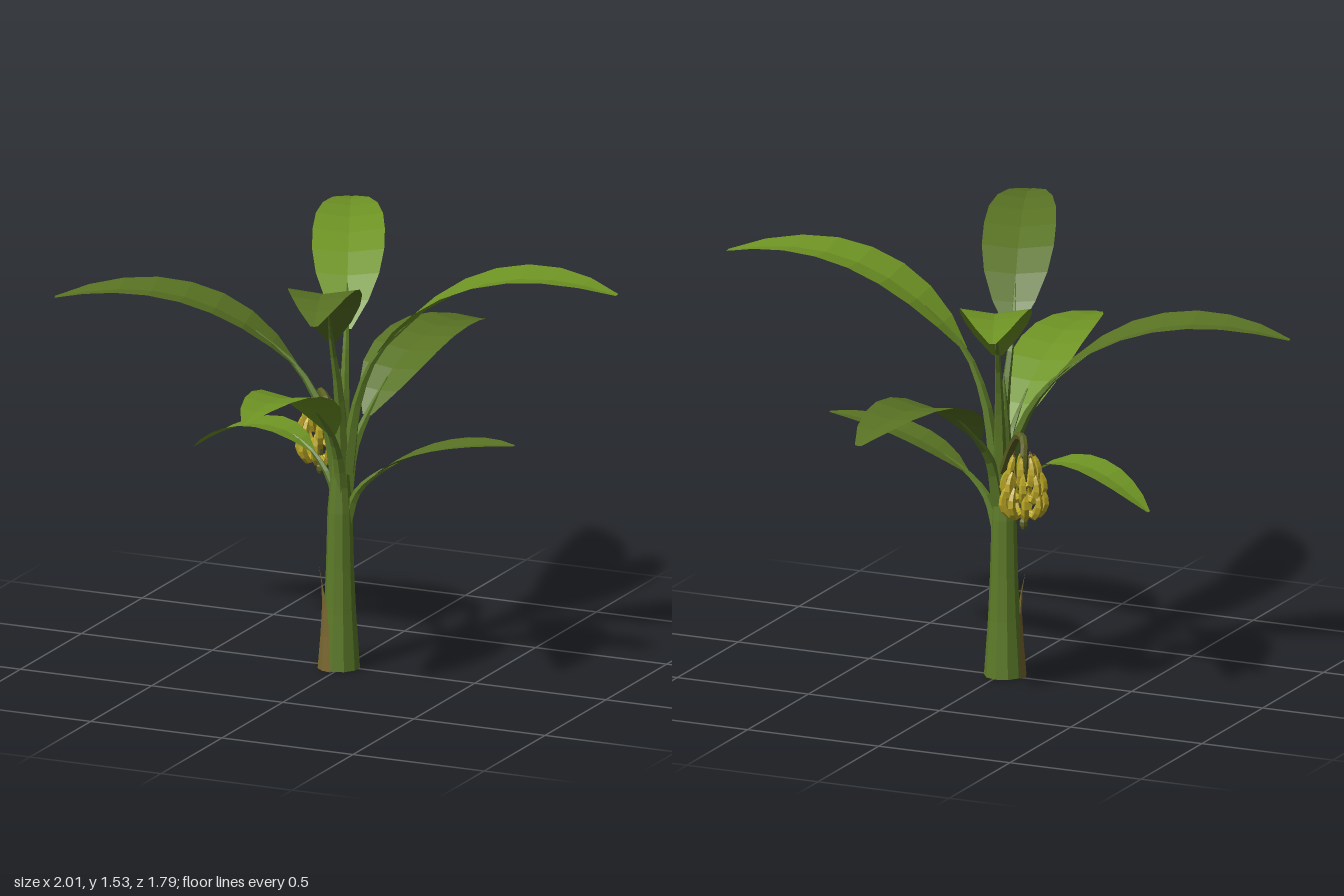
import * as THREE from 'three';

const mat = (name, color, side = THREE.FrontSide) =>
  Object.assign(new THREE.MeshStandardMaterial({ color, flatShading: true, side }), { name });

const v3 = (p) => new THREE.Vector3(...p);

// Tube whose radius follows a rule along its length
function taperTube(points, radiusAt, segs, sides) {
  const curve = new THREE.CatmullRomCurve3(points);
  const geo = new THREE.TubeGeometry(curve, segs, 1, sides);
  const pos = geo.attributes.position;
  const p = new THREE.Vector3();
  for (let i = 0; i < pos.count; i++) {
    const t = Math.floor(i / (sides + 1)) / segs;
    const c = curve.getPointAt(t);
    p.fromBufferAttribute(pos, i).sub(c).multiplyScalar(radiusAt(t)).add(c);
    pos.setXYZ(i, p.x, p.y, p.z);
  }
  geo.computeVertexNormals();
  return geo;
}

// Open surface from rows of equal length
function skin(rows) {
  const n = rows[0].length;
  const index = [];
  for (let i = 0; i < rows.length - 1; i++) {
    for (let j = 0; j < n - 1; j++) {
      const a = i * n + j, b = a + n;
      index.push(a, b, a + 1, a + 1, b, b + 1);
    }
  }
  const geo = new THREE.BufferGeometry().setFromPoints(rows.flat());
  geo.setIndex(index);
  geo.computeVertexNormals();
  return geo;
}

// Leaf blade with a shallow fold along the midrib
function bladeGeometry(curve, halfWidth) {
  const profile = [0.14, 0.6, 0.88, 1, 1, 0.93, 0.76, 0.5, 0.1];
  const up = new THREE.Vector3(0, 1, 0);
  const rows = profile.map((w, i) => {
    const t = i / (profile.length - 1);
    const c = curve.getPointAt(t), dir = curve.getTangentAt(t);
    const side = new THREE.Vector3().crossVectors(up, dir).normalize();
    const normal = new THREE.Vector3().crossVectors(dir, side);
    return [-1, 0, 1].map((s) => c.clone()
      .addScaledVector(side, s * w * halfWidth)
      .addScaledVector(normal, Math.abs(s) * w * halfWidth * 0.14));
  });
  return skin(rows);
}

export function createModel() {
  const group = new THREE.Group();
  group.name = 'bananaPlant';
  const leafLight = mat('lightLeaf', 0x6f9424, THREE.DoubleSide);
  const leafDark = mat('darkLeaf', 0x587223, THREE.DoubleSide);
  const stemGreen = mat('stemGreen', 0x5c7a28);
  const dryBrown = mat('drySheath', 0x786630, THREE.DoubleSide);
  const stalkOlive = mat('stalkOlive', 0x5a5f22);
  const fruitYellow = mat('fruitYellow', 0xb9a524);
  const tipBrown = mat('fruitTip', 0x5a4520);

  const add = (parent, name, geo, material) => {
    const mesh = new THREE.Mesh(geo, material);
    mesh.name = name;
    parent.add(mesh);
    return mesh;
  };

  // Trunk
  const trunkProfile = [[0, 0], [0.07, 0], [0.056, 0.2], [0.049, 0.36], [0.044, 0.56],
    [0.033, 0.68], [0.022, 0.9], [0, 1.08]];
  add(group, 'trunk', new THREE.LatheGeometry(
    trunkProfile.map(([r, y]) => new THREE.Vector2(r, y)), 10), stemGreen)
    .position.set(-0.01, 0, 0.008);

  // Dry sheath wrapped round one side of the trunk: height, radius, centre angle, half span
  const sheathRows = [[0, 0.079, -0.95, 0.95], [0.12, 0.069, -0.95, 0.85],
    [0.22, 0.063, -1.0, 0.62], [0.3, 0.064, -1.1, 0.32], [0.365, 0.073, -1.15, 0.03]];
  // Rows run from the far edge back so the outside faces outward
  add(group, 'drySheath', skin(sheathRows.map(([y, r, a, span]) =>
    [1, 0.5, 0, -0.5, -1].map((s) => {
      const q = a + s * span;
      return new THREE.Vector3(-0.01 + r * Math.sin(q), y, 0.008 + r * Math.cos(q));
    }))), dryBrown);

  // Leaves: name, material, half width, foot height, blade start, arch height, tip
  const leaves = [
    ['frontUpper', leafDark, 0.125, 0.7, [0.01, 1.2, 0.12], 1.61, [0.3, 1.485, 0.89]],
    ['backUpper', leafLight, 0.125, 0.7, [-0.04, 1.18, -0.11], 1.55, [-0.35, 1.44, -0.82]],
    ['leftUpper', leafLight, 0.14, 0.7, [0.14, 1.15, 0.01], 1.57, [1, 1.43, -0.09]],
    ['rightUpper', leafDark, 0.13, 0.65, [-0.18, 1.06, 0], 1.41, [-1, 1.265, 0.22]],
    ['frontLower', leafLight, 0.115, 0.6, [0, 0.86, 0.1], 1.18, [0.01, 1.09, 0.84]],
    ['backLower', leafDark, 0.13, 0.62, [0.03, 0.875, -0.13], 1.19, [0.13, 1.035, -0.89]],
    ['rightSmall', leafLight, 0.085, 0.52, [-0.13, 0.75, -0.03], 0.906, [-0.62, 0.69, -0.12]],
    ['leftSmall', leafDark, 0.088, 0.52, [0.13, 0.71, 0.01], 0.86, [0.65, 0.87, 0]],
  ];
  for (const [name, material, halfWidth, footY, startAt, archY, tipAt] of leaves) {
    const leaf = new THREE.Group();
    leaf.name = name + 'Leaf';
    group.add(leaf);
    const start = v3(startAt), tip = v3(tipAt);
    const blade = new THREE.QuadraticBezierCurve3(
      start, start.clone().lerp(tip, 0.4).setY(archY), tip);
    const foot = new THREE.Vector3(start.x * 0.1, footY, start.z * 0.1);
    const bend = foot.clone().lerp(start, 0.35).setY(footY + (start.y - footY) * 0.6);
    const thick = halfWidth > 0.1 ? 0.024 : 0.018;
    add(leaf, 'leafStalk', taperTube([foot, bend, start, blade.getPoint(0.2)],
      (t) => thick * (1 - t) + 0.003, 8, 5), stemGreen);
    add(leaf, 'leafBlade', bladeGeometry(blade, halfWidth), material);
  }

  // Arching fruit stalk with a bud at its end
  const cx = -0.2, cz = -0.24;
  add(group, 'fruitStalk', taperTube([[-0.02, 0.74, -0.02], [-0.08, 0.85, -0.08],
    [-0.14, 0.915, -0.15], [-0.185, 0.915, -0.205], [cx, 0.86, cz], [cx, 0.74, cz],
    [cx, 0.63, cz]].map(v3), (t) => 0.017 - 0.006 * t, 18, 6), stalkOlive);
  const bud = add(group, 'flowerBud', new THREE.SphereGeometry(0.016, 6, 5), stalkOlive);
  bud.position.set(cx, 0.63, cz);
  bud.scale.y = 1.5;

  // Tiers of bananas curving out and upward: base height, reach, count
  const bunch = new THREE.Group();
  bunch.name = 'bananaBunch';
  bunch.position.set(cx, 0, cz);
  group.add(bunch);
  [[0.67, 0.075, 9], [0.725, 0.07, 8], [0.775, 0.05, 7]].forEach(([y, reach, count], tier) => {
    const path = [[0.008, y + 0.005, 0], [reach * 0.65, y - 0.008, 0],
      [reach, y + 0.035, 0], [reach * 0.9, y + 0.075, 0], [reach * 0.72, y + 0.1, 0]];
    const fruit = taperTube(path.map(v3),
      (t) => 0.004 + 0.011 * Math.max(0, Math.sin(Math.PI * t)) ** 0.7, 7, 5);
    const tip = new THREE.SphereGeometry(0.0055, 5, 4);
    tip.translate(reach * 0.72, y + 0.1, 0);
    for (let i = 0; i < count; i++) {
      const angle = ((i + tier * 0.5) / count) * Math.PI * 2;
      add(bunch, 'banana', fruit, fruitYellow).rotation.y = angle;
      add(bunch, 'bananaTip', tip, tipBrown).rotation.y = angle;
    }
  });
  return group;
}
